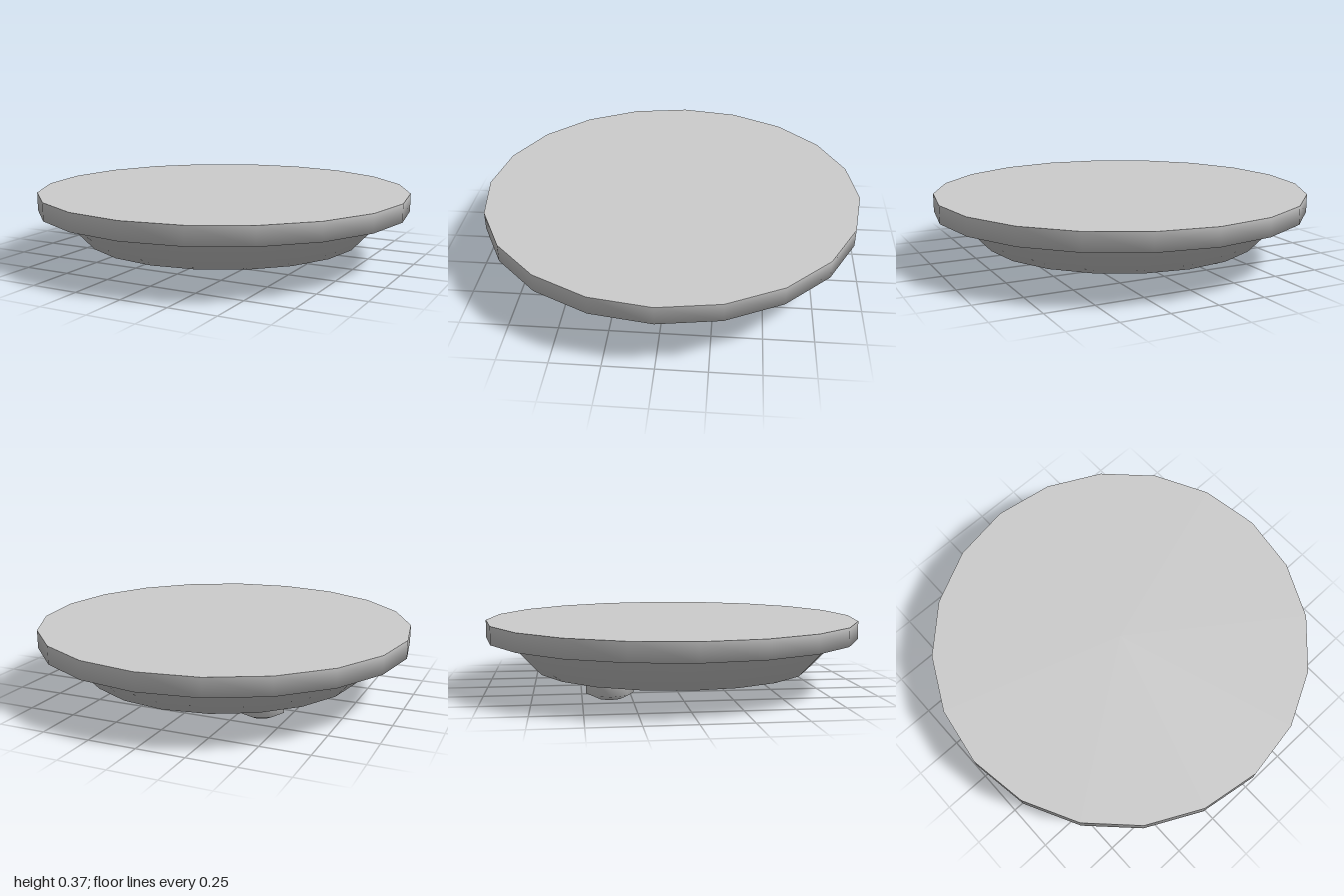
import * as THREE from 'three';

const material = new THREE.MeshStandardMaterial({ color: 0xcccccc });

// Smooth-shaded solid of revolution; profile runs from the bottom centre upward
function turned(name, profile, sides) {
  const points = profile.map(([r, y]) => new THREE.Vector2(r, y));
  const mesh = new THREE.Mesh(new THREE.LatheGeometry(points, sides), material);
  mesh.name = name;
  return mesh;
}

export function createModel() {
  const group = new THREE.Group();
  group.name = 'roundLid';
  const sides = 20;

  // Tapered underside, ledge and rim wall
  group.add(turned('underside', [[0, 0.1], [0.74, 0.1], [0.9, 0.27], [1, 0.27], [1, 0.365]], sides));

  // Flat top with a sharp edge
  const top = new THREE.Mesh(new THREE.CircleGeometry(1, sides), material);
  top.name = 'topFace';
  top.rotation.x = -Math.PI / 2;
  top.position.y = 0.365;
  group.add(top);

  // Off-centre peg with a bevelled lower end
  const peg = turned('peg', [[0, 0], [0.065, 0], [0.12, 0.025], [0.12, 0.11]], 8);
  peg.position.set(-0.36, 0, -0.36);
  group.add(peg);

  return group;
}
